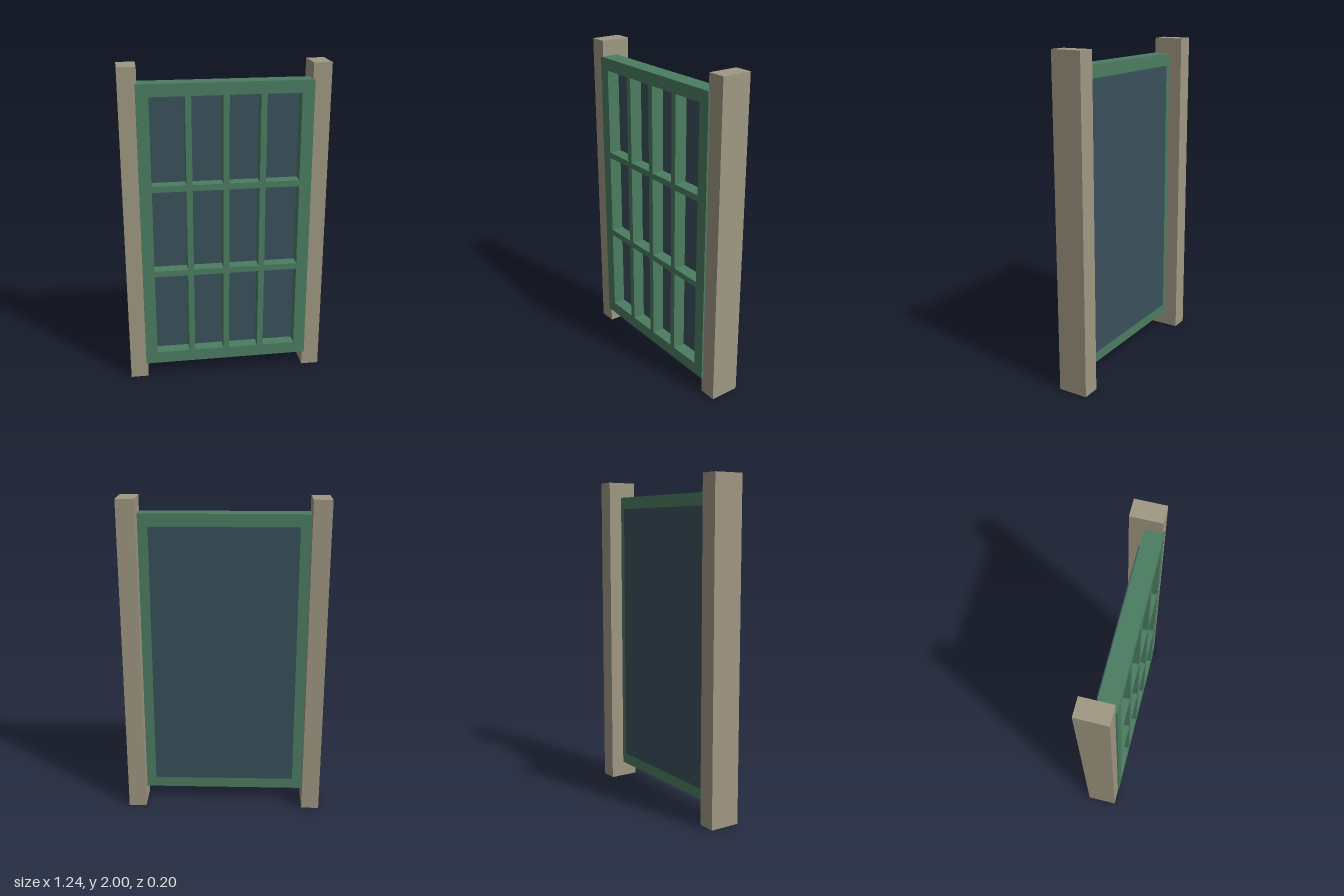
import * as THREE from 'three';

const paint = (color) => new THREE.MeshStandardMaterial({ color });

function box(name, material, [x0, x1], [y0, y1], [z0, z1]) {
  const mesh = new THREE.Mesh(new THREE.BoxGeometry(x1 - x0, y1 - y0, z1 - z0), material);
  mesh.position.set((x0 + x1) / 2, (y0 + y1) / 2, (z0 + z1) / 2);
  mesh.name = name;
  return mesh;
}

// Adds a closed rectangle to a shape or path
function rect(path, x0, x1, y0, y1) {
  path.moveTo(x0, y0).lineTo(x1, y0).lineTo(x1, y1).lineTo(x0, y1).closePath();
  return path;
}

export function createModel() {
  const group = new THREE.Group();
  group.name = 'window';
  const stone = paint(0xa09883);
  const green = paint(0x4c7d62);
  const glass = paint(0x3a515b);

  // Side posts
  for (const s of [-1, 1]) {
    const x = s > 0 ? [0.51, 0.621] : [-0.621, -0.51];
    group.add(box(s > 0 ? 'leftPost' : 'rightPost', stone, x, [0, 2], [-0.098, 0.088]));
  }

  // Sash with four columns and three rows of pane openings
  const columns = [[-0.447, -0.2405], [-0.2035, -0.0185], [0.0185, 0.2035], [0.2405, 0.447]];
  const rows = [[0.174, 0.707], [0.745, 1.258], [1.296, 1.829]];
  const outline = rect(new THREE.Shape(), -0.521, 0.521, 0.098, 1.904);
  for (const [x0, x1] of columns) {
    for (const [y0, y1] of rows) outline.holes.push(rect(new THREE.Path(), x0, x1, y0, y1));
  }
  const sash = new THREE.Mesh(
    new THREE.ExtrudeGeometry(outline, { depth: 0.111, bevelEnabled: false }), green);
  sash.position.z = -0.013;
  sash.name = 'sash';
  group.add(sash);

  // Glass slab, standing slightly proud of the back of the sash
  group.add(box('glass', glass, [-0.447, 0.447], [0.174, 1.829], [-0.028, 0.02]));

  return group;
}
